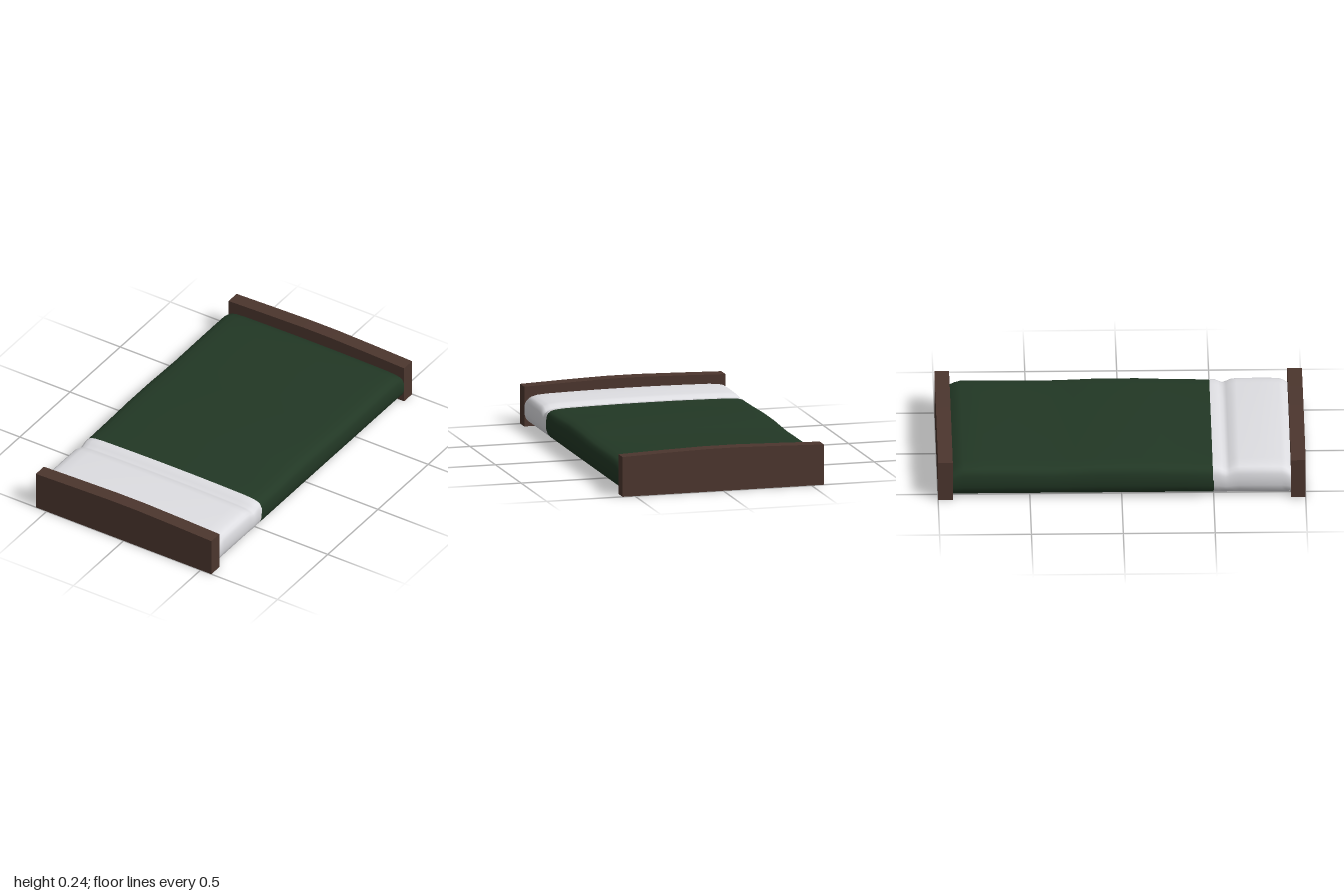
import * as THREE from 'three';

const wood = new THREE.MeshStandardMaterial({ color: 0x4c362e });
wood.name = 'dark brown wood';
const green = new THREE.MeshStandardMaterial({ color: 0x223825, side: THREE.DoubleSide });
green.name = 'dark green blanket';
const white = new THREE.MeshStandardMaterial({ color: 0xdedee2, side: THREE.DoubleSide });
white.name = 'white sheet';

// Half cross-section from hem to middle: [x, height share between hem and top]
const HALF = [
  [0.545, 0], [0.56, 0.12], [0.568, 0.28], [0.57, 0.48], [0.568, 0.68], [0.56, 0.81],
  [0.545, 0.89], [0.515, 0.94], [0.46, 0.965], [0.3, 0.985], [0.15, 0.997], [0, 1],
];
const SECTION = [
  ...HALF.map(([x, s]) => [-x, s]),
  ...HALF.slice(0, -1).reverse(),
];
const HEM = 0.027;

// Open-bottomed cloth: the section swept along z, with a top height at each station
function cloth(name, stations, material) {
  const pos = [], index = [], n = SECTION.length;
  stations.forEach(([z, top], i) => {
    SECTION.forEach(([x, s], j) => {
      pos.push(x, HEM + s * (top - HEM), z);
      if (i === 0 || j === 0) return;
      const d = i * n + j, c = d - 1, b = d - n, a = b - 1;
      index.push(a, c, b, b, c, d);
    });
  });
  const geo = new THREE.BufferGeometry();
  geo.setAttribute('position', new THREE.Float32BufferAttribute(pos, 3));
  geo.setIndex(index);
  geo.computeVertexNormals();
  const mesh = new THREE.Mesh(geo, material);
  mesh.name = name;
  return mesh;
}

// End board with a gently arched top
function board(name, z) {
  const shape = new THREE.Shape();
  [[-0.57, 0], [0.57, 0], [0.57, 0.221], [0.33, 0.23], [0.09, 0.237],
    [-0.09, 0.237], [-0.33, 0.231], [-0.57, 0.224]]
    .forEach(([x, y], i) => (i ? shape.lineTo(x, y) : shape.moveTo(x, y)));
  const geo = new THREE.ExtrudeGeometry(shape, { depth: 0.08, bevelEnabled: false });
  const mesh = new THREE.Mesh(geo, wood);
  mesh.name = name;
  mesh.position.z = z;
  return mesh;
}

export function createModel() {
  const bed = new THREE.Group();
  bed.name = 'bed';
  bed.add(board('headboard', 0.92), board('footboard', -1));

  // Blanket with soft waves
  bed.add(cloth('blanket', [
    [-0.92, 0.165], [-0.895, 0.18], [-0.86, 0.191], [-0.75, 0.192], [-0.6, 0.191],
    [-0.38, 0.188], [-0.25, 0.192], [-0.12, 0.198], [0.1, 0.198], [0.22, 0.193],
    [0.35, 0.189], [0.5, 0.186],
  ], green));

  // Turned-back sheet with a crease behind the pillow area
  bed.add(cloth('sheet', [
    [0.495, 0.188], [0.525, 0.187], [0.545, 0.177], [0.565, 0.168], [0.585, 0.176],
    [0.61, 0.189], [0.64, 0.194], [0.76, 0.195], [0.87, 0.193], [0.895, 0.182], [0.92, 0.165],
  ], white));

  return bed;
}
